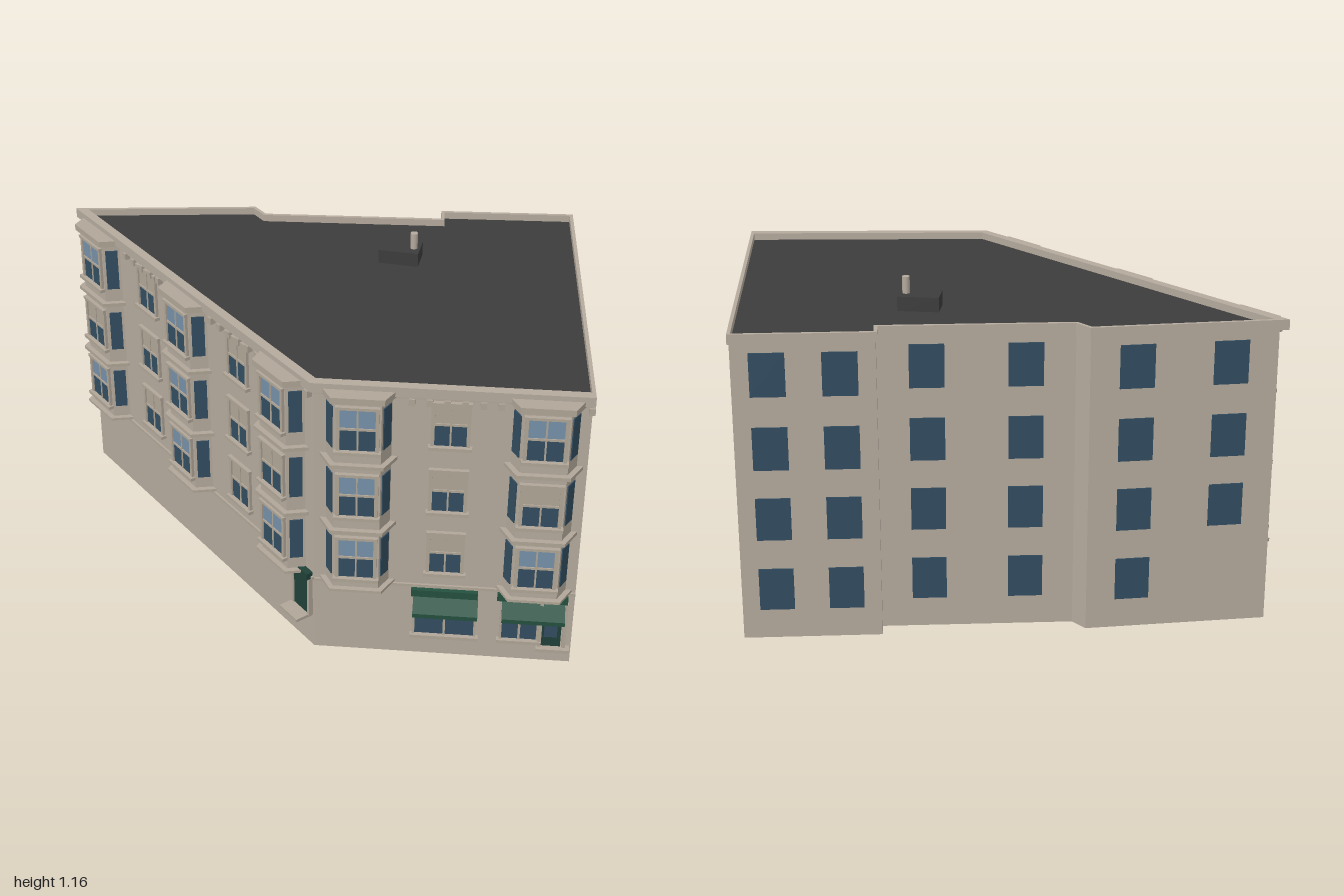
import * as THREE from 'three';

const mat = (name, color, double) => {
  const m = new THREE.MeshStandardMaterial({ color });
  m.name = name;
  if (double) m.side = THREE.DoubleSide;
  return m;
};

export function createModel() {
  const root = new THREE.Group();
  root.name = 'cornerBuilding';
  const M = {
    wall: mat('stone wall', 0xb5aa9d),
    trim: mat('stone trim', 0xb0a597),
    roof: mat('dark roof', 0x3c3c3c),
    glass: mat('dark glass', 0x324d60),
    sky: mat('light glass', 0x7590a8),
    green: mat('awning green', 0x24503f),
    door: mat('door green', 0x1f4038),
  };

  // Corners of the footprint as [x, z], running left wall, front wall, side, back
  const plan = [[-0.97, -0.335], [0.115, 0.625], [0.98, 0.515], [0.775, -0.682],
    [0.315, -0.605], [0.325, -0.545], [-0.315, -0.44], [-0.365, -0.485]];

  // ---- helpers ----
  const add = (parent, name, geo, material) => {
    const mesh = new THREE.Mesh(geo, material);
    mesh.name = name;
    parent.add(mesh);
    return mesh;
  };
  const box = (parent, name, material, x, y, z, w, h, d) => {
    const m = add(parent, name, new THREE.BoxGeometry(w, h, d), material);
    m.position.set(x, y, z);
    return m;
  };
  // box standing on the wall plane, given by its x and y spans and its depth
  const onWall = (parent, name, material, x0, x1, y0, y1, depth) =>
    box(parent, name, material, (x0 + x1) / 2, (y0 + y1) / 2, depth / 2, x1 - x0, y1 - y0, depth);
  const v2 = (pts) => pts.map(([x, z]) => new THREE.Vector2(x, -z));
  const prism = (pts, y0, y1, hole) => {
    const shape = new THREE.Shape(v2(pts));
    if (hole) shape.holes.push(new THREE.Path(v2(hole)));
    const g = new THREE.ExtrudeGeometry(shape, { depth: y1 - y0, bevelEnabled: false });
    return g.rotateX(-Math.PI / 2).translate(0, y0, 0);
  };
  // move every edge of a polygon outward by its own distance
  const offset = (pts, dist) => pts.map((p, i) => {
    const n = pts.length, a = pts[(i + n - 1) % n], b = pts[(i + 1) % n];
    const norm = (s, e) => {
      const l = Math.hypot(e[0] - s[0], e[1] - s[1]);
      return [-(e[1] - s[1]) / l, (e[0] - s[0]) / l];
    };
    const n1 = norm(a, p), n2 = norm(p, b);
    const d1 = dist((i + n - 1) % n), d2 = dist(i), det = n1[0] * n2[1] - n1[1] * n2[0];
    return [p[0] + (d1 * n2[1] - d2 * n1[1]) / det, p[1] + (n1[0] * d2 - n2[0] * d1) / det];
  });
  // group with x along the edge from p to q and z facing outward
  const face = (parent, name, p, q) => {
    const g = new THREE.Group();
    g.name = name;
    g.position.set(p[0], 0, p[1]);
    g.rotation.y = Math.atan2(p[1] - q[1], q[0] - p[0]);
    g.userData.length = Math.hypot(q[0] - p[0], q[1] - p[1]);
    parent.add(g);
    return g;
  };

  // ---- body, roof and parapet ----
  add(root, 'body', prism(plan, 0, 1.055), [M.roof, M.wall]);
  const out = offset(plan, (i) => (i < 2 ? 0.022 : 0.006));
  const inn = offset(plan, (i) => (i < 2 ? -0.01 : -0.006));
  add(root, 'parapet', prism(out, 1.045, 1.08, inn), M.wall);
  box(root, 'roofHatch', M.roof, 0.223, 1.078, -0.262, 0.14, 0.054, 0.092);
  const pipe = add(root, 'ventPipe', new THREE.CylinderGeometry(0.013, 0.013, 0.06, 12), M.wall);
  pipe.position.set(0.27, 1.133, -0.26);

  const wallNames = ['leftFacade', 'frontFacade', 'sideWall', 'backWallA', 'returnA',
    'backWallB', 'returnB', 'backWallC'];
  const walls = plan.map((p, i) => face(root, wallNames[i], p, plan[(i + 1) % plan.length]));

  // ---- plain windows on the side and back ----
  const rows = [[0.105, 0.255], [0.36, 0.51], [0.61, 0.76], [0.865, 1.015]];
  const plainWindows = (wall, centres, skip) => centres.forEach((s, c) => rows.forEach(([y0, y1], r) => {
    if (skip && c === 1 && r === 0) return;
    onWall(wall, 'plainWindow', M.glass, s - 0.058, s + 0.058, y0, y1, 0.004);
  }));
  plainWindows(walls[2], [0.146, 0.428, 0.727, 1.048]);
  for (const i of [3, 5, 7]) {
    const l = walls[i].userData.length;
    plainWindows(walls[i], [l * 0.25, l * 0.75], i === 7);
  }

  // ---- sash windows ----
  const floors = [[0.355, 0.51], [0.605, 0.76], [0.86, 1.015]];
  const sash = (parent, x, y0, y1, w, upper) => {
    const g = new THREE.Group();
    g.name = 'sashWindow';
    g.position.x = x;
    parent.add(g);
    const h = w / 2, mid = y0 + (y1 - y0) * 0.52;
    onWall(g, 'lowerPane', M.glass, -h, h, y0, mid, 0.004);
    onWall(g, 'upperPane', upper, -h, h, mid, y1, 0.004);
    onWall(g, 'meetingRail', M.trim, -h, h, mid - 0.004, mid + 0.004, 0.008);
    onWall(g, 'mullion', M.trim, -0.003, 0.003, y0, y1, 0.007);
    for (const s of [-1, 1]) {
      box(g, 'jamb', M.trim, s * (h + 0.004), (y0 + y1) / 2, 0.005, 0.012, y1 - y0, 0.01);
    }
    onWall(g, 'sill', M.trim, -h - 0.017, h + 0.017, y0 - 0.012, y0, 0.02);
    onWall(g, 'lintel', M.trim, -h - 0.012, h + 0.012, y1, y1 + 0.01, 0.014);
  };

  // ---- bay with three window floors ----
  const bayPlan = [[-0.105, 0], [-0.075, 0.055], [0.075, 0.055], [0.105, 0]];
  const addBay = (wall, s, blindFloor) => {
    const g = new THREE.Group();
    g.name = 'bay';
    g.position.x = s;
    wall.add(g);
    add(g, 'bayBody', prism(bayPlan, 0.305, 1.05), M.wall);
    const band = offset(bayPlan, (i) => (i < 3 ? 0.018 : 0));
    for (const [y0, y1] of [[0.3, 0.31], [0.537, 0.55], [0.795, 0.808], [1.04, 1.062]]) {
      add(g, 'bayMoulding', prism(band, y0, y1), M.trim);
    }
    for (let i = 0; i < 3; i++) {
      const f = face(g, ['bayLeft', 'bayFront', 'bayRight'][i], bayPlan[i], bayPlan[i + 1]);
      const mid = f.userData.length / 2;
      floors.forEach(([y0, y1], k) => {
        if (i === 1) sash(f, mid, y0, y1, 0.118, k === blindFloor ? M.trim : M.sky);
        else onWall(f, 'baySideWindow', M.glass, mid - 0.022, mid + 0.022, y0, y1, 0.004);
      });
    }
  };

  // ---- the two street facades ----
  const layout = [
    { wall: walls[0], bays: [0.142, 0.72, 1.295], flats: [0.437, 1.015], blind: [1, -1, 1] },
    { wall: walls[1], bays: [0.144, 0.733], flats: [0.435], blind: [-1, 1] },
  ];
  for (const { wall, bays, flats, blind } of layout) {
    const len = wall.userData.length;
    bays.forEach((s, i) => addBay(wall, s, blind[i]));
    for (const s of flats) {
      floors.forEach(([y0, y1]) => sash(wall, s, y0, y1, 0.106, M.trim));
    }
    onWall(wall, 'beltCourse', M.trim, 0, len, 0.287, 0.298, 0.008);
    onWall(wall, 'corniceStrip', M.trim, 0, len, 1.036, 1.045, 0.014);
    for (let s = 0.03; s < len; s += 0.056) {
      if (bays.every((b) => Math.abs(b - s) > 0.115)) {
        onWall(wall, 'corniceBracket', M.trim, s - 0.01, s + 0.01, 1.013, 1.037, 0.02);
      }
    }
  }

  // ---- entrance on the left facade ----
  const left = walls[0];
  onWall(left, 'entranceDoor', M.door, 1.348, 1.428, 0.13, 0.29, 0.012);
  for (const s of [1.342, 1.434]) onWall(left, 'entrancePost', M.trim, s - 0.006, s + 0.006, 0.13, 0.29, 0.016);
  onWall(left, 'entranceHood', M.door, 1.336, 1.44, 0.287, 0.312, 0.025);
  onWall(left, 'entranceStep', M.trim, 1.335, 1.435, 0.122, 0.133, 0.065);

  // ---- shops on the front facade ----
  const front = walls[1];
  const awning = (x0, x1) => {
    const s = new THREE.Shape([[0, 0.252], [0.07, 0.222], [0.07, 0.206], [0.066, 0.206],
      [0.066, 0.218], [0, 0.244]].map(([z, y]) => new THREE.Vector2(z, y)));
    const g = new THREE.ExtrudeGeometry(s, { depth: x1 - x0, bevelEnabled: false });
    add(front, 'awning', g.rotateY(-Math.PI / 2).translate(x1, 0, 0), M.green);
  };
  const shopWindow = (x0, x1, panes) => {
    onWall(front, 'shopGlass', M.glass, x0, x1, 0.09, 0.2, 0.004);
    onWall(front, 'shopTransom', M.sky, x0, x1, 0.2, 0.245, 0.004);
    for (let i = 0; i <= panes; i++) {
      const x = x0 + ((x1 - x0) * i) / panes;
      onWall(front, 'shopMullion', M.trim, x - 0.004, x + 0.004, 0.085, 0.245, 0.01);
    }
    onWall(front, 'shopRail', M.trim, x0, x1, 0.197, 0.203, 0.009);
    onWall(front, 'shopSill', M.trim, x0 - 0.012, x1 + 0.012, 0.077, 0.09, 0.02);
  };
  shopWindow(0.338, 0.545, 2);
  onWall(front, 'shopHeader', M.green, 0.327, 0.55, 0.253, 0.28, 0.016);
  awning(0.335, 0.552);

  shopWindow(0.632, 0.757, 2);
  onWall(front, 'shopDoor', M.door, 0.766, 0.836, 0.07, 0.25, 0.008);
  onWall(front, 'shopDoorGlass', M.glass, 0.779, 0.823, 0.11, 0.235, 0.011);
  for (const x of [0.765, 0.847]) onWall(front, 'shopPost', M.trim, x - 0.006, x + 0.006, 0.06, 0.255, 0.016);
  onWall(front, 'shopStep', M.trim, 0.755, 0.867, 0.057, 0.07, 0.03);
  onWall(front, 'shopHeader', M.green, 0.615, 0.85, 0.255, 0.285, 0.016);
  awning(0.632, 0.842);

  return root;
}
